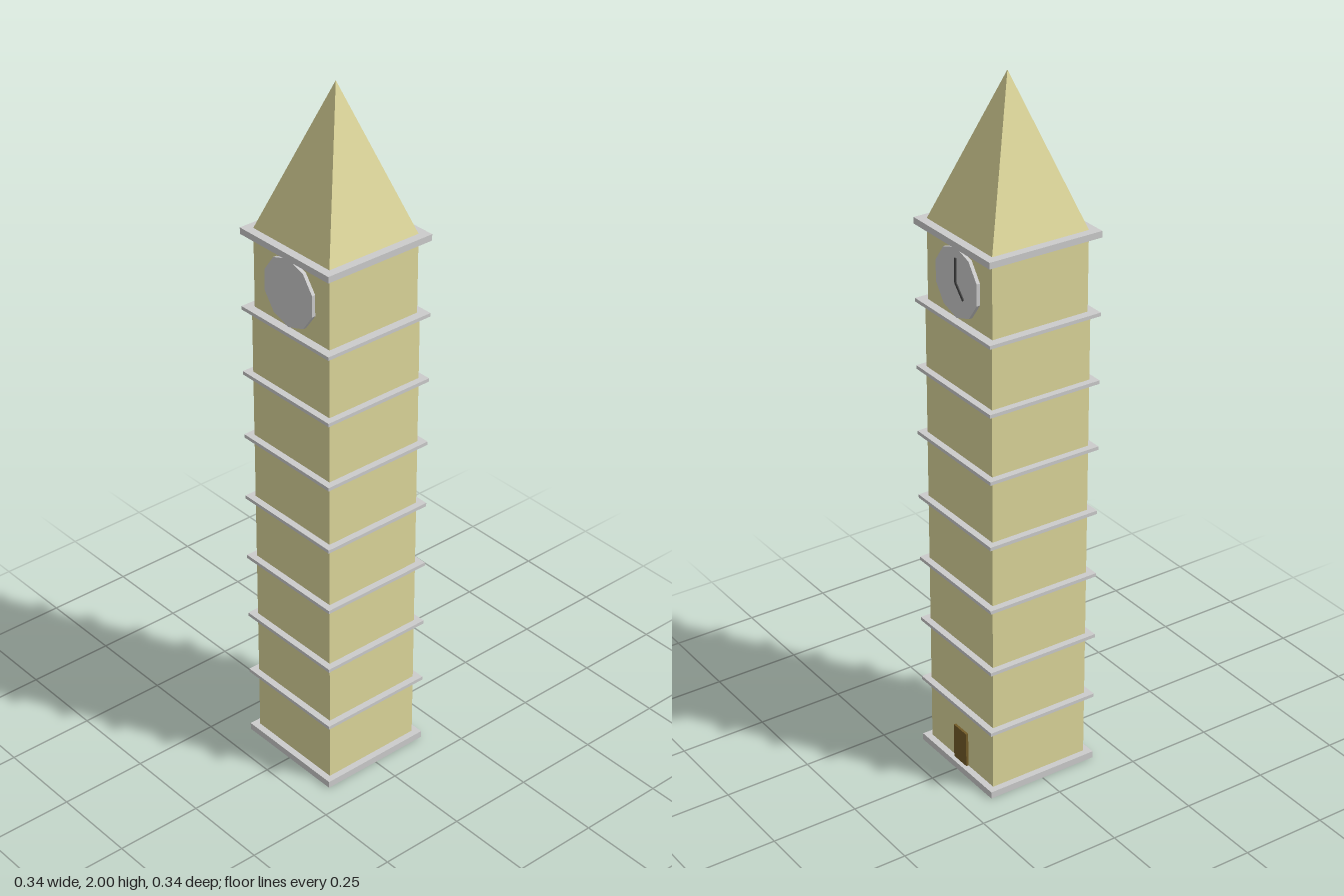
import * as THREE from 'three';

const material = (color) => new THREE.MeshStandardMaterial({ color, flatShading: true });

export function createModel() {
  const tower = new THREE.Group();
  tower.name = 'clockTower';
  const stone = material(0xdcd69a);
  const grey = material(0xcccccc);
  const wood = material(0x735c28);
  const dark = material(0x444444);

  const add = (name, geometry, mat, x = 0, y = 0, z = 0) => {
    const mesh = new THREE.Mesh(geometry, mat);
    mesh.name = name;
    mesh.position.set(x, y, z);
    tower.add(mesh);
    return mesh;
  };
  // Square block between two heights
  const block = (name, width, y0, y1, mat) =>
    add(name, new THREE.BoxGeometry(width, y1 - y0, width), mat, 0, (y0 + y1) / 2);

  // Plinth, shaft and clock room
  block('plinth', 0.34, 0, 0.02, grey);
  block('shaft', 0.302, 0.02, 1.362, stone);
  block('clockRoom', 0.292, 1.362, 1.574, stone);

  // Ledges between the storeys, and the cornice
  for (let i = 0; i < 7; i++) {
    const y = 0.207 + i * 0.1925;
    block('ledge', 0.34, y - 0.005, y + 0.005, grey);
  }
  block('cornice', 0.34, 1.574, 1.592, grey);

  // Four-sided spire
  const spire = new THREE.ConeGeometry(0.146 * Math.SQRT2, 0.408, 4);
  spire.rotateY(Math.PI / 4);
  add('spire', spire, stone, 0, 1.796);

  // Ten-sided clock faces on both sides
  const clockY = 1.471;
  const dial = new THREE.CylinderGeometry(0.097, 0.097, 0.014, 10);
  dial.rotateY(Math.PI / 2);
  dial.rotateZ(Math.PI / 2);
  for (const side of [-1, 1]) add('clockFace', dial, grey, side * 0.149, clockY);

  // Clock hands, pivoting at the centre of the dial
  for (const [name, length, angle] of [['minuteHand', 0.068, 0], ['hourHand', 0.05, -2.4]]) {
    const hand = new THREE.BoxGeometry(0.004, length, 0.007);
    hand.translate(0, length / 2, 0);
    add(name, hand, dark, 0.157, clockY).rotation.x = angle;
  }

  // Door
  add('door', new THREE.BoxGeometry(0.02, 0.105, 0.06), wood, 0.148, 0.0725);

  return tower;
}
